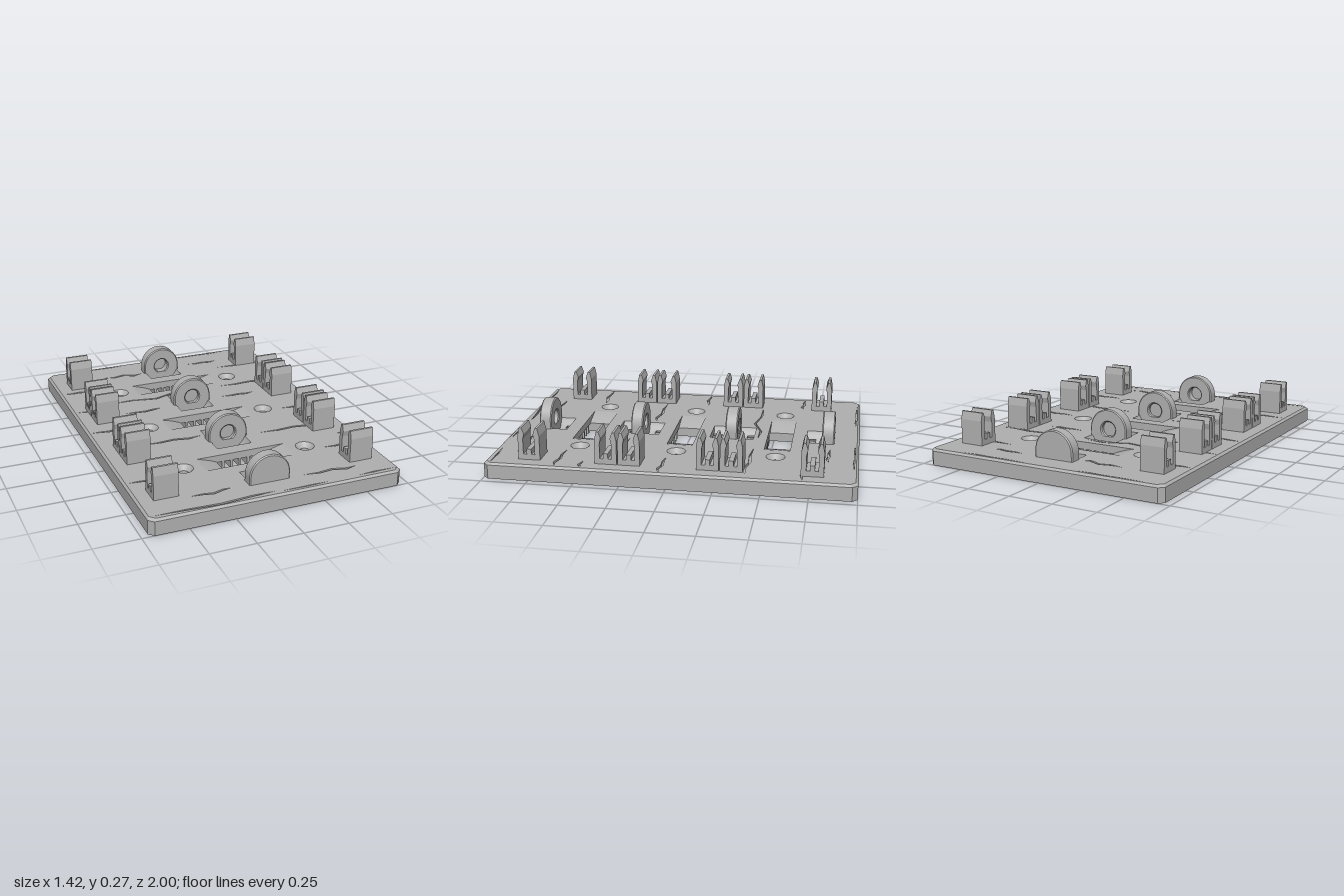
import * as THREE from 'three';

const TOP = 0.09, SKIN = 0.078, CEIL = 0.048;   // plate top, crack floor, underside groove ceiling
const HX = 0.71, HZ = 1;
const BAYS = [-0.55, 0, 0.55];
const AXLE = 0.13;                               // axle height of the round supports

const V = (x, y) => new THREE.Vector2(x, y);
const poly = (pts) => pts.map(([x, y]) => V(x, y));
const rect = (cx, cy, hx, hy) => poly([[cx - hx, cy - hy], [cx + hx, cy - hy], [cx + hx, cy + hy], [cx - hx, cy + hy]]);
const circle = (cx, cy, r, n = 28) => Array.from({ length: n }, (_, i) =>
  V(cx + r * Math.cos(i / n * Math.PI * 2), cy + r * Math.sin(i / n * Math.PI * 2)));

// Rectangle with cut corners
function outline(inset) {
  const x = HX - inset, z = HZ - inset, c = 0.028;
  return poly([[-x + c, -z], [x - c, -z], [x, -z + c], [x, z - c], [x - c, z], [-x + c, z], [-x, z - c], [-x, -z + c]]);
}

function extrude(points, holes, depth) {
  const shape = new THREE.Shape(points);
  holes.forEach((h) => shape.holes.push(new THREE.Path(h)));
  return new THREE.ExtrudeGeometry(shape, { depth, bevelEnabled: false });
}

// Horizontal slab drawn in x/z between two heights
const slab = (points, holes, y0, y1) => extrude(points, holes, y1 - y0).rotateX(Math.PI / 2).translate(0, y1, 0);

// Thin wavy split in the wood
function crack(x0, x1, z, bend, w = 0.013) {
  const at = (t, dz) => [x0 + (x1 - x0) * t, z + dz];
  return poly([at(0, 0), at(0.28, bend * 0.3), at(0.55, -bend * 0.5), at(0.8, bend), at(1, bend * 0.6),
    at(0.78, bend + w), at(0.55, -bend * 0.5 + w), at(0.3, bend * 0.3 + w * 0.8)]);
}

// Points along the round pocket, from angle a0 to a1
function pocketArc(a0, a1, r = 0.11, n = 12) {
  return Array.from({ length: n + 1 }, (_, i) => {
    const a = a0 + (a1 - a0) * i / n;
    return V(r * Math.cos(a), AXLE + r * Math.sin(a));
  });
}

export function createModel() {
  const grey = new THREE.MeshStandardMaterial({ color: 0xb0b0b0 });
  grey.name = 'plain grey';
  const greyOpen = new THREE.MeshStandardMaterial({ color: 0xb0b0b0, side: THREE.DoubleSide });
  greyOpen.name = 'plain grey';
  const model = new THREE.Group();
  model.name = 'mountingPlate';
  const add = (name, geo, x = 0, y = 0, z = 0, mat = grey) => {
    const m = new THREE.Mesh(geo, mat);
    m.name = name;
    m.position.set(x, y, z);
    model.add(m);
    return m;
  };

  // Openings shared by the upper layers
  const openings = [], grills = [];
  for (const z of BAYS) {
    openings.push(rect(0, z, 0.26, 0.072));
    for (const s of [-1, 1]) {
      openings.push(rect(0, z + s * 0.195, 0.105, 0.045));
      openings.push(circle(s * 0.36, z, 0.053));
    }
    grills.push(poly([[-0.56, z - 0.2], [-0.105, z - 0.2], [-0.105, z - 0.24], [0.105, z - 0.24], [0.105, z - 0.2], [0.56, z - 0.2],
      [0.56, z + 0.2], [0.105, z + 0.2], [0.105, z + 0.24], [-0.105, z + 0.24], [-0.105, z + 0.2], [-0.56, z + 0.2]]));
  }
  const cracks = [
    [-0.39, -0.13, -0.815, 0.02], [0.2, 0.4, -0.842, 0.006], [0.36, 0.69, -0.718, 0.006], [-0.69, -0.51, -0.655, 0.008],
    [-0.49, 0.07, -0.405, -0.032], [0.24, 0.65, -0.42, 0.012], [-0.69, -0.48, -0.357, 0.008], [-0.43, -0.2, -0.235, -0.007],
    [0.2, 0.41, -0.262, 0.006], [-0.69, -0.5, -0.05, -0.008], [0.46, 0.69, 0.035, 0.01], [-0.48, -0.12, 0.2, 0.012],
    [0.19, 0.6, 0.298, 0.012], [0.6, 0.69, 0.47, -0.006], [-0.69, -0.44, 0.6, -0.01], [0.44, 0.69, 0.602, 0.01],
    [-0.44, -0.21, 0.85, -0.012], [0.19, 0.51, 0.855, 0.015], [-0.69, -0.01, 0.965, -0.01], [0.01, 0.69, 0.97, -0.012],
    [-0.6, -0.2, -0.982, 0.004, 0.006], [0.1, 0.5, -0.98, 0.004, 0.006]
  ].map((c) => crack(...c));

  // Plate in three layers
  add('plateBase', slab(outline(0), grills, 0, CEIL));
  add('plateCore', slab(outline(0), openings, CEIL, SKIN));
  add('crackedTopSkin', slab(outline(0.012), [...openings, ...cracks], SKIN, TOP));

  // Sloping rim around the top edge
  const lo = outline(0), hi = outline(0.012), rim = [];
  lo.forEach((a, i) => {
    const j = (i + 1) % lo.length;
    const A = [a.x, SKIN, a.y], B = [lo[j].x, SKIN, lo[j].y], C = [hi[j].x, TOP, hi[j].y], D = [hi[i].x, TOP, hi[i].y];
    rim.push(...A, ...C, ...B, ...A, ...D, ...C);
  });
  const rimGeo = new THREE.BufferGeometry();
  rimGeo.setAttribute('position', new THREE.Float32BufferAttribute(rim, 3));
  rimGeo.computeVertexNormals();
  add('plateRim', rimGeo, 0, 0, 0, greyOpen);

  // Curved ramp leading into each slot
  const ramp = new THREE.Shape();
  ramp.moveTo(0.26, TOP);
  ramp.quadraticCurveTo(0.195, 0.076, 0.14, 0.052);
  ramp.lineTo(0.14, CEIL);
  ramp.lineTo(0.26, CEIL);
  const rampGeo = new THREE.ExtrudeGeometry(ramp, { depth: 0.144, bevelEnabled: false }).translate(0, 0, -0.072);

  // Pocket linings: open-bottomed cheeks and a full trough
  const aTop = -Math.asin((AXLE - TOP) / 0.11), aCeil = -Math.asin((AXLE - CEIL) / 0.11);
  const cheek = extrude([V(0.105, CEIL), V(0.105, TOP), ...pocketArc(aTop, aCeil)], [], 0.05).translate(0, 0, -0.025);
  const trough = extrude([V(-0.105, 0), V(0.105, 0), V(0.105, TOP), ...pocketArc(aTop, -Math.PI - aTop, 0.11, 24),
    V(-0.105, TOP)], [], 0.04).translate(0, 0, -0.02);

  // Countersunk screw hole
  const sink = new THREE.LatheGeometry(poly([[0.053, TOP], [0.028, 0.062], [0.028, CEIL], [0.053, CEIL]]), 28)
    .toNonIndexed();
  sink.computeVertexNormals();

  // Two-pronged snap clip
  const half = [[0.06, TOP - 0.01], [0.06, 0.225], [0.05, 0.27], [0.037, 0.27], [0.025, 0.235], [0.032, 0.205],
    [0.032, 0.12], [0.013, 0.12], [0.013, 0.15]];
  const clipPts = poly([...half, ...half.map(([z, y]) => [-z, y]).reverse()]);
  const clip = extrude(clipPts, [], 0.135).translate(0, 0, -0.0675).rotateY(-Math.PI / 2);

  for (const z of BAYS) {
    // Grill bars under the plate, broken at the slot and screw holes
    for (let i = -11; i <= 11; i++) {
      const x = i * 0.05;
      const gap = Math.abs(x) < 0.14 ? 0.072 : Math.abs(Math.abs(x) - 0.36) < 0.03 ? 0.028 : 0;
      const len = 0.2 - gap;
      for (const s of [-1, 1]) {
        add('grillBar', new THREE.BoxGeometry(0.014, CEIL, len), x, CEIL / 2, z + s * (gap + len / 2));
      }
    }
    for (const s of [-1, 1]) {
      add('slotRamp', rampGeo, 0, 0, z).rotation.y = s > 0 ? 0 : Math.PI;
      add('screwHole', sink, s * 0.36, 0, z, greyOpen);
      add('pocketTrough', trough, 0, 0, z + s * 0.22);
      for (const side of [0, Math.PI]) add('pocketCheek', cheek, 0, 0, z + s * 0.175).rotation.y = side;
      for (const x of [-0.557, 0.557]) add('snapClip', clip, x, 0, z + s * 0.212);
    }
  }

  // Round axle supports with blind sockets
  const r = 0.115, bev = 0.006, support = new THREE.Shape();
  support.moveTo(-r + bev, 0.03);
  support.lineTo(r - bev, 0.03);
  support.lineTo(r - bev, AXLE);
  support.absarc(0, AXLE, r - bev, 0, Math.PI, false);
  support.holes.push(new THREE.Path(circle(0, AXLE, 0.05)));
  const supportGeo = new THREE.ExtrudeGeometry(support, { depth: 0.07 - 2 * bev, bevelSize: bev, bevelThickness: bev,
    bevelSegments: 1, curveSegments: 36 }).translate(0, 0, -0.035 + bev);
  const web = new THREE.CylinderGeometry(0.058, 0.058, 0.02, 32).rotateX(Math.PI / 2);
  for (const z of [-0.825, -0.275, 0.275, 0.825]) {
    add('axleSupport', supportGeo, 0, 0, z);
    const out = Math.abs(z) > 0.5 ? Math.sign(z) * 0.025 : 0;
    add('socketFloor', web, 0, AXLE, z + out);
  }
  return model;
}
